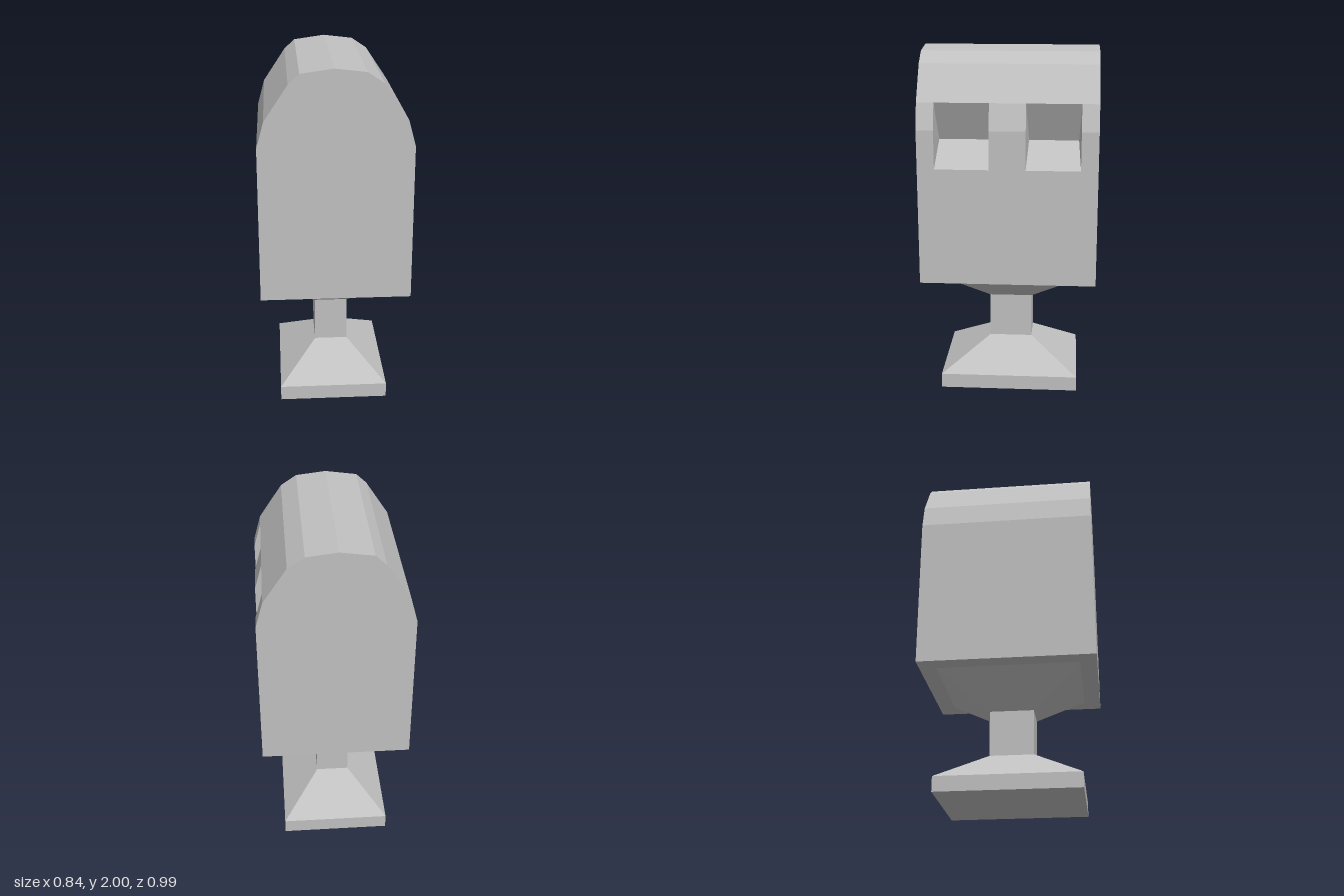
import * as THREE from 'three';

const grey = new THREE.MeshStandardMaterial({ color: 0xc0c0c0 });
grey.name = 'light grey';

// Makes a hard-edged mesh from flat convex polygons, corners anticlockwise from outside
function facetMesh(name, faces) {
  const points = [];
  for (const f of faces) {
    for (let i = 1; i < f.length - 1; i++) points.push(...f[0], ...f[i], ...f[i + 1]);
  }
  const geometry = new THREE.BufferGeometry();
  geometry.setAttribute('position', new THREE.Float32BufferAttribute(points, 3));
  geometry.computeVertexNormals();
  const mesh = new THREE.Mesh(geometry, grey);
  mesh.name = name;
  return mesh;
}

// Body outline, anticlockwise from the front; points 1 to 3 border the pockets
const outline = [
  [0.42, 0.705], [0.42, 1.365], [0.42, 1.58], [0.38, 1.725], [0.25, 1.92],
  [0.16, 1.98], [-0.01, 2], [-0.19, 1.975], [-0.25, 1.92], [-0.38, 1.725],
  [-0.42, 1.58], [-0.42, 0.705],
];
const halfDepth = 0.495;
const pockets = [[0.1, 0.4], [-0.4, -0.1]];
const at = (p, z) => [p[0], p[1], z];

function makeBody() {
  const faces = [
    outline.map((p) => at(p, halfDepth)),
    outline.map((p) => at(p, -halfDepth)).reverse(),
  ];
  // Walls, roof and underside; the pocket bands leave their openings free
  outline.forEach((p, i) => {
    const q = outline[(i + 1) % outline.length];
    const spans = i === 1 || i === 2
      ? [[-halfDepth, -0.4], [-0.1, 0.1], [0.4, halfDepth]]
      : [[-halfDepth, halfDepth]];
    for (const [back, front] of spans) {
      faces.push([at(p, front), at(p, back), at(q, back), at(q, front)]);
    }
  });
  return facetMesh('body', faces);
}

// Wedge-shaped recess with slightly tapering ends
function makePocket([back, front]) {
  const [low, bend, high] = outline.slice(1, 4);
  const deep = [0.272, 1.505];
  const deepBack = at(deep, back + 0.012);
  const deepFront = at(deep, front - 0.012);
  return facetMesh('pocket', [
    [at(low, front), at(low, back), deepBack, deepFront],
    [deepFront, deepBack, at(high, back), at(high, front)],
    [at(low, back), at(bend, back), deepBack],
    [at(bend, back), at(high, back), deepBack],
    [at(bend, front), at(low, front), deepFront],
    [at(high, front), at(bend, front), deepFront],
  ]);
}

// Square-cornered tapering block between two rectangles [halfX, halfZ, y]
function makeBlock(name, lower, upper) {
  const ring = ([hx, hz, y]) => [[-1, 1], [1, 1], [1, -1], [-1, -1]]
    .map(([sx, sz]) => [-0.006 + sx * hx, y, sz * hz]);
  const a = ring(lower);
  const b = ring(upper);
  const faces = a.map((p, i) => [p, a[(i + 1) % 4], b[(i + 1) % 4], b[i]]);
  faces.push(b, [...a].reverse());
  return facetMesh(name, faces);
}

export function createModel() {
  const model = new THREE.Group();
  model.name = 'streetBox';
  model.add(makeBody(), ...pockets.map(makePocket));

  // Pedestal, from the ground up
  const wide = [0.312, 0.4];
  const narrow = [0.096, 0.125];
  model.add(
    makeBlock('basePlate', [...wide, 0], [...wide, 0.085]),
    makeBlock('baseSlope', [...wide, 0.085], [...narrow, 0.255]),
    makeBlock('neck', [...narrow, 0.255], [...narrow, 0.515]),
    makeBlock('bodySupport', [...narrow, 0.515], [...wide, 0.705]),
  );
  return model;
}
